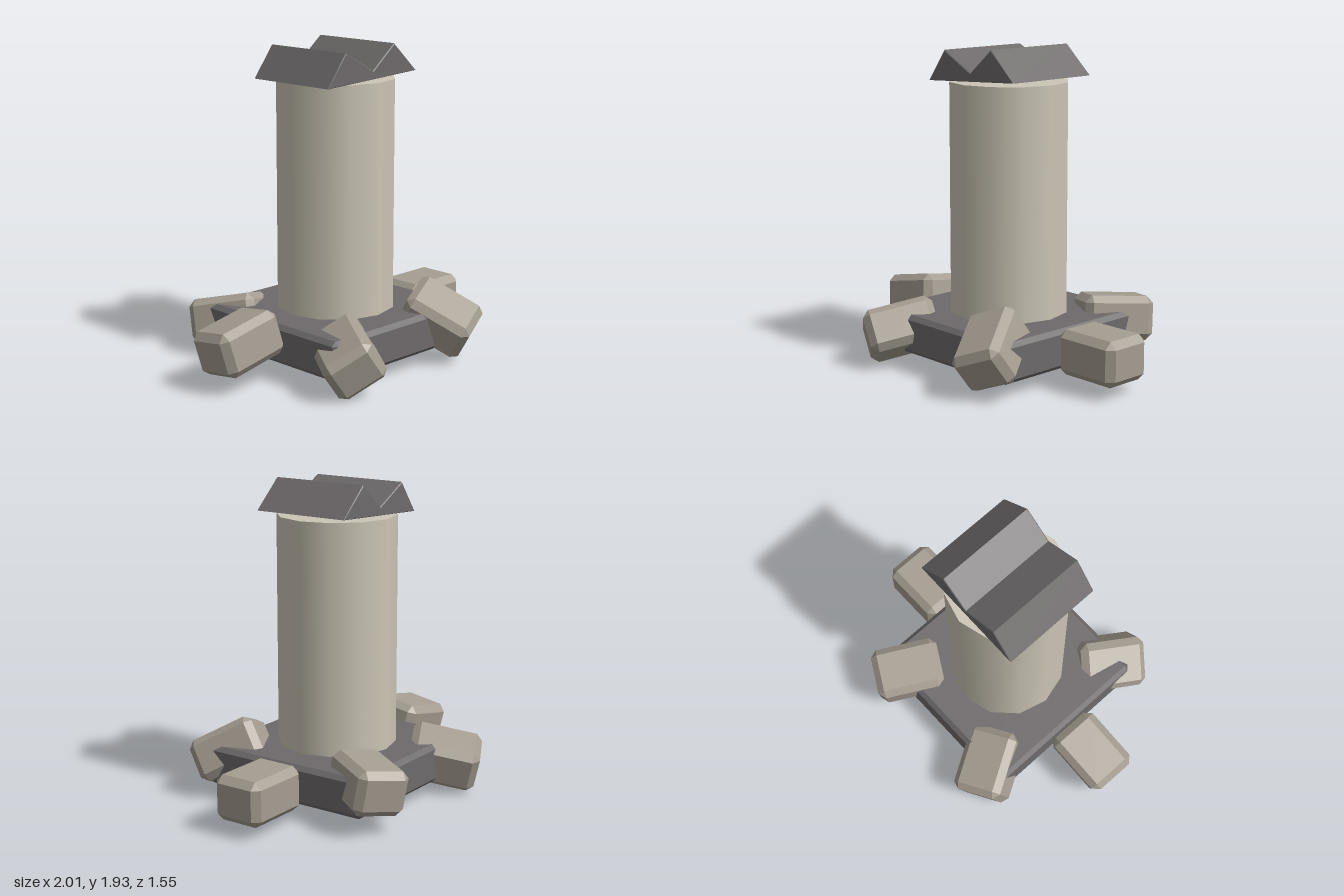
import * as THREE from 'three';
import { ConvexGeometry } from 'three/addons/geometries/ConvexGeometry.js';

const paint = (color, flatShading = false) => new THREE.MeshStandardMaterial({ color, flatShading });

// Box with its edges cut off at 45 degrees
function chamferedBox(w, h, d, cut) {
  const points = [];
  for (const x of [-1, 1]) for (const y of [-1, 1]) for (const z of [-1, 1]) {
    for (let full = 0; full < 3; full++) {
      const half = [w / 2, h / 2, d / 2].map((v, i) => (i === full ? v : v - cut));
      points.push(new THREE.Vector3(x * half[0], y * half[1], z * half[2]));
    }
  }
  return new ConvexGeometry(points);
}

export function createModel() {
  const model = new THREE.Group();
  const dark = paint(0x6e6a6b, true);
  const stoneGrey = paint(0xa59d91, true);

  const add = (name, geometry, material, x, y, z) => {
    const mesh = new THREE.Mesh(geometry, material);
    mesh.name = name;
    mesh.position.set(x, y, z);
    model.add(mesh);
    return mesh;
  };

  // Square plinth and twelve-sided column
  add('plinth', chamferedBox(1.12, 0.24, 1.12, 0.027), dark, 0.01, 0.22, 0);
  add('column', new THREE.CylinderGeometry(0.36, 0.36, 1.43, 12), paint(0xcbc5b5), 0.01, 1.015, 0);

  // Slightly tilted cap with two ridges
  const profile = new THREE.Shape([
    [-0.355, 1.725], [0.375, 1.765], [0.185, 1.94], [0.01, 1.795], [-0.215, 1.915],
  ].map(([x, y]) => new THREE.Vector2(x, y)));
  const bevel = 0.005;
  const cap = new THREE.ExtrudeGeometry(profile, {
    depth: 0.62 - 2 * bevel, bevelThickness: bevel, bevelSize: bevel, bevelOffset: -bevel, bevelSegments: 1,
  });
  add('ridgedCap', cap, dark, 0, 0, -0.31 + bevel);

  // Ring of tumbled stones: angle, x, y, z, pitch of the outer end, roll
  const stone = chamferedBox(0.43, 0.27, 0.32, 0.042);
  const stones = [
    [0, 0.785, 0.22, 0, 0, 0],
    [60, 0.4, 0.275, 0.505, -0.48, 0.4],
    [120, -0.405, 0.22, 0.51, -0.2, 0.57],
    [180, -0.775, 0.27, 0, -0.2, 0.16],
    [240, -0.39, 0.22, -0.52, -0.2, 0.25],
    [300, 0.41, 0.275, -0.5, -0.07, -0.15],
  ];
  for (const [angle, x, y, z, pitch, roll] of stones) {
    const mesh = add('stone', stone, stoneGrey, x, y, z);
    mesh.rotation.set(roll, -THREE.MathUtils.degToRad(angle), pitch, 'YZX');
  }
  return model;
}
